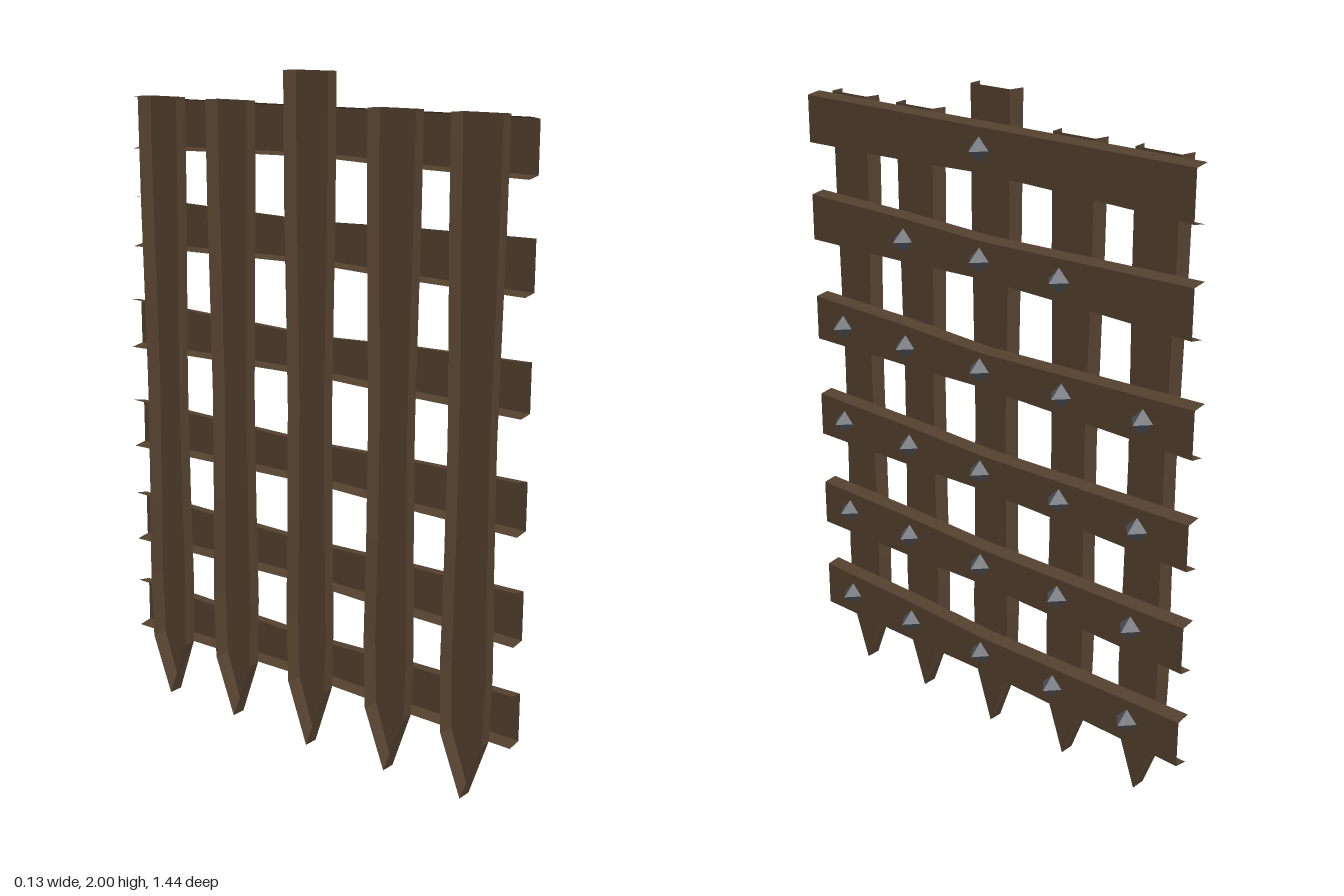
import * as THREE from 'three';

const wood = new THREE.MeshStandardMaterial({ color: 0x54412f, side: THREE.DoubleSide, flatShading: true });
wood.name = 'darkWood';
const iron = new THREE.MeshStandardMaterial({ color: 0x565b62, side: THREE.DoubleSide, flatShading: true });
iron.name = 'iron';

const INSET = 0.007; // front faces are slightly narrower than the backs

// Open-backed, open-ended channel skinned over four-point sections
function channel(sections) {
  const pos = [];
  for (let i = 0; i < sections.length - 1; i++) {
    const s = sections[i], t = sections[i + 1];
    for (let j = 0; j < 3; j++) {
      pos.push(...s[j], ...s[j + 1], ...t[j + 1], ...s[j], ...t[j + 1], ...t[j]);
    }
  }
  const g = new THREE.BufferGeometry();
  g.setAttribute('position', new THREE.Float32BufferAttribute(pos, 3));
  g.computeVertexNormals();
  return g;
}

// Upright bar with a pointed foot; half-widths vary along the height
function uprightBar(z, tipY, topY) {
  const profile = [[tipY, 0], [0.19, 0.07], [0.4, 0.076], [0.7, 0.07], [1.05, 0.067], [1.4, 0.073], [1.6, 0.077], [topY, 0.079]];
  return channel(profile.map(([y, h]) => {
    const f = Math.max(0, h - INSET);
    return [[-0.068, y, z + h], [-0.022, y, z + f], [-0.022, y, z - f], [-0.068, y, z - h]];
  }));
}

// Cross plank, pinched towards its middle
function crossPlank(top, bottom, dipTop, dipBottom, end) {
  const stations = [[0.72, 0], [0.34, 0.35], [0.03, 1], [-0.28, 0.6], [end, 0]];
  return channel(stations.map(([z, k]) => {
    const t = top - dipTop * k, b = bottom + dipBottom * k;
    return [[-0.02, t, z], [0.024, t - INSET, z], [0.024, b + INSET, z], [-0.02, b, z]];
  }));
}

export function createModel() {
  const model = new THREE.Group();
  model.name = 'portcullis';
  const add = (name, geometry, material) => {
    const mesh = new THREE.Mesh(geometry, material);
    mesh.name = name;
    model.add(mesh);
    return mesh;
  };

  // Five pointed uprights, the middle one taller
  [0.59, 0.322, 0.03, -0.265, -0.539].forEach((z, i) =>
    add('uprightBar' + (i + 1), uprightBar(z, i === 2 ? 0 : 0.01, i === 2 ? 2 : 1.91), wood));

  // Planks: top, bottom, top dip, bottom rise, far end, stud height, stud positions
  const planks = [
    [0.342, 0.185, 0.016, 0.011, -0.72, 0.266, [0.602, 0.33, 0.03, -0.26, -0.54]],
    [0.642, 0.485, 0.012, 0.014, -0.72, 0.57, [0.602, 0.33, 0.03, -0.272, -0.54]],
    [0.952, 0.8, 0.015, 0.014, -0.72, 0.878, [0.612, 0.323, 0.03, -0.272, -0.55]],
    [1.278, 1.125, 0.022, 0.013, -0.72, 1.197, [0.602, 0.33, 0.03, -0.275, -0.555]],
    [1.602, 1.447, 0.016, 0.016, -0.7, 1.524, [0.33, 0.03, -0.26]],
    [1.904, 1.748, 0, 0.016, -0.69, 1.835, [0.03]],
  ];

  // Four-sided stud pointing forward from the planks
  const stud = new THREE.ConeGeometry(0.036, 0.042, 4, 1, true).rotateZ(-Math.PI / 2);

  planks.forEach(([top, bottom, dipTop, dipBottom, end, studY, studs], i) => {
    add('crossPlank' + (i + 1), crossPlank(top, bottom, dipTop, dipBottom, end), wood);
    studs.forEach((z) => add('stud', stud, iron).position.set(0.045, studY, z));
  });

  return model;
}
